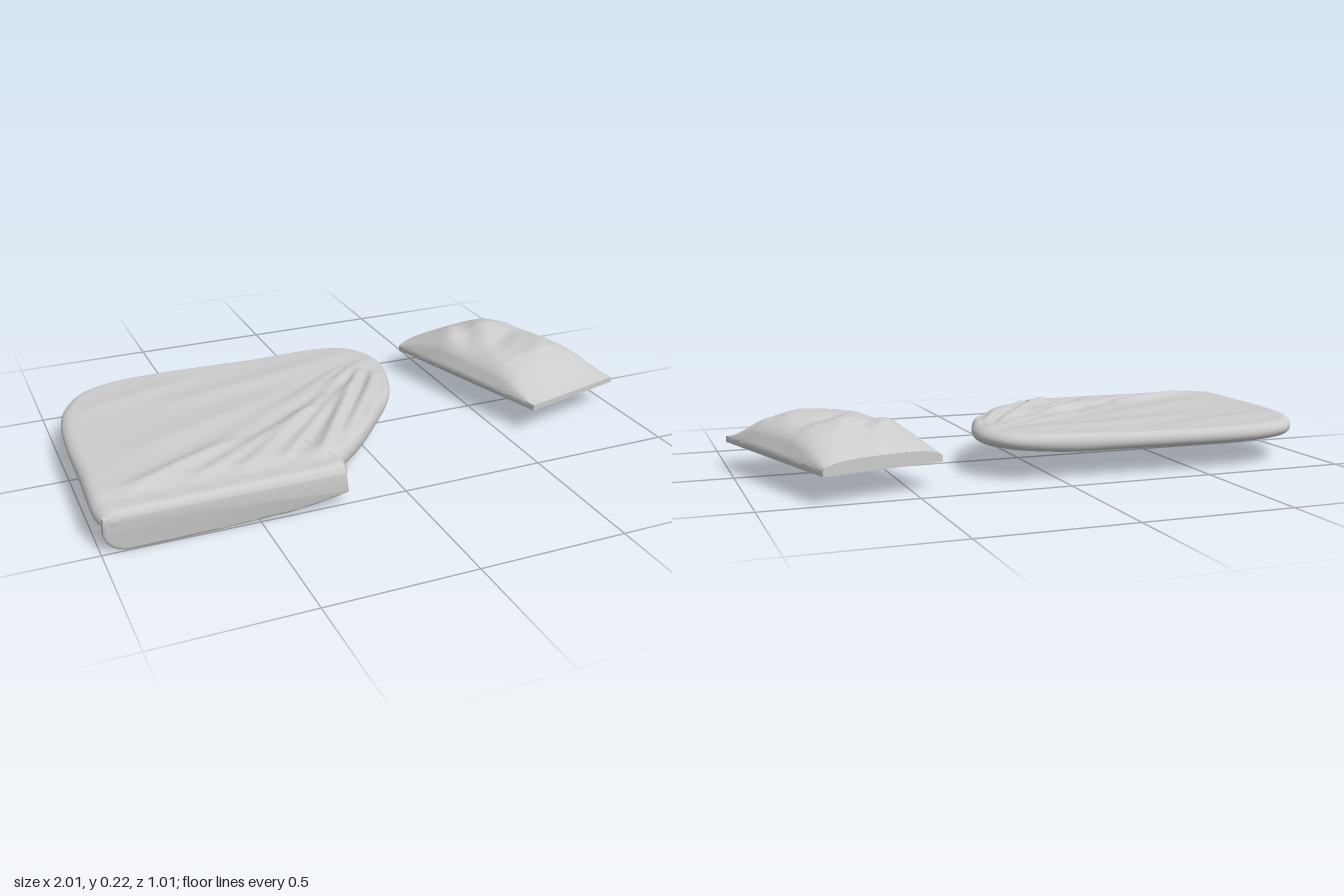
import * as THREE from 'three';
import { mergeVertices, toCreasedNormals } from 'three/addons/utils/BufferGeometryUtils.js';

const material = new THREE.MeshStandardMaterial({ color: 0xcccccc });
const { smoothstep, lerp } = THREE.MathUtils;

// Smooth interpolation through [position, value] pairs
function profile(points, x) {
  let i = 0;
  while (i < points.length - 2 && x > points[i + 1][0]) i++;
  const [x0, y0] = points[i], [x1, y1] = points[i + 1];
  return lerp(y0, y1, Math.min(1, Math.max(0, (x - x0) / (x1 - x0))));
}

// A raised fold along the segment a-b
function fold(x, z, [ax, az, bx, bz, height, width]) {
  const dx = bx - ax, dz = bz - az;
  const t = Math.min(1, Math.max(0, ((x - ax) * dx + (z - az) * dz) / (dx * dx + dz * dz)));
  const d = Math.hypot(x - ax - t * dx, z - az - t * dz) / width;
  return height * Math.exp(-d * d) * Math.sqrt(Math.sin(Math.PI * (0.1 + 0.8 * t)));
}

// ---- Blanket ----
const blanketOutline = [
  [-0.98, 0.5], [-1, 0.46], [-1, 0.2], [-0.998, 0], [-0.985, -0.16], [-0.955, -0.27], [-0.88, -0.38],
  [-0.76, -0.433], [-0.6, -0.447], [-0.2, -0.43], [0.08, -0.41], [0.17, -0.37], [0.22, -0.28],
  [0.225, -0.18], [0.19, -0.05], [0.14, 0.06], [0.03, 0.2], [-0.08, 0.32], [-0.18, 0.41],
  [-0.212, 0.445], [-0.2, 0.48], [-0.25, 0.495], [-0.6, 0.503], [-0.9, 0.503],
];

const blanketFolds = [
  [-0.24, 0.38, 0.1, -0.12, 0.016, 0.022], [-0.12, 0.3, 0.15, -0.08, 0.016, 0.02],
  [-0.36, 0.37, 0.0, -0.02, 0.014, 0.022], [-0.66, 0.4, -0.2, 0.1, 0.014, 0.03],
  [-0.86, 0.38, -0.5, 0.22, 0.012, 0.03], [-0.5, 0.38, -0.1, 0.03, 0.008, 0.025],
  [-0.2, 0.02, 0.18, -0.22, 0.008, 0.03], [-0.6, -0.15, 0.1, -0.3, 0.007, 0.05],
  [-0.9, -0.2, -0.5, -0.33, 0.006, 0.05], [-0.8, 0.15, -0.3, -0.05, 0.006, 0.06],
];

const blanketBottom = (x, z) => 0.09 - 0.02 * smoothstep(z, -0.1, 0.48) + 0.012 * smoothstep(x, -0.1, 0.2);

function blanketTop(x, z) {
  const front = smoothstep(z, 0.36, 0.44);
  let y = 0.147 - 0.01 * front + 0.01 * smoothstep(x, -0.3, 0.1);
  for (const f of blanketFolds) y += fold(x, z, f) * (1 - front * 0.8);
  // fine ripples fanning out from the back right corner
  const angle = Math.atan2(z + 0.32, 0.24 - x);
  const fan = smoothstep(angle, 0.35, 0.75) * smoothstep(Math.hypot(x - 0.24, z + 0.32), 0.1, 0.35);
  return y + 0.004 * fan * (1 - front) * Math.sin(angle * 34);
}

function blanketGeometry() {
  const curve = new THREE.CatmullRomCurve3(blanketOutline.map(([x, z]) => new THREE.Vector3(x, 0, z)), true);
  const segments = 260;
  const outline = curve.getSpacedPoints(segments);
  const cx = -0.4, cz = 0.02;
  // rings from the top centre, round the rim, to the underside centre: [scale, height]
  const rings = [];
  for (let i = 0; i < 48; i++) rings.push([0.001 + 0.939 * i / 48, 1]);
  for (let i = 0; i <= 14; i++) {
    const a = Math.PI * i / 14;
    rings.push([0.94 + 0.06 * Math.sin(a), 0.5 + 0.5 * Math.cos(a)]);
  }
  for (let i = 1; i <= 6; i++) rings.push([0.94 - 0.939 * i / 6, 0]);

  const positions = [], index = [];
  rings.forEach(([s, t], r) => {
    for (let j = 0; j < segments; j++) {
      const x = cx + s * (outline[j].x - cx), z = cz + s * (outline[j].z - cz);
      positions.push(x, lerp(blanketBottom(x, z), blanketTop(x, z), t), z);
      if (r === rings.length - 1) continue;
      const a = r * segments + j, b = r * segments + (j + 1) % segments;
      index.push(a, b, b + segments, a, b + segments, a + segments);
    }
  });
  const geometry = new THREE.BufferGeometry();
  geometry.setAttribute('position', new THREE.Float32BufferAttribute(positions, 3));
  geometry.setIndex(index);
  geometry.computeVertexNormals();
  return geometry;
}

// Part of the blanket hanging down over the front edge
function flapGeometry() {
  const bevel = 0.011;
  const shape = new THREE.Shape();
  shape.moveTo(-0.978, 0.11);
  shape.lineTo(-0.98, 0.07);
  shape.quadraticCurveTo(-0.975, 0.02, -0.92, 0.012);
  shape.bezierCurveTo(-0.75, 0.01, -0.55, 0.016, -0.42, 0.021);
  shape.quadraticCurveTo(-0.33, 0.026, -0.213, 0.05);
  shape.lineTo(-0.22, 0.11);
  const geometry = new THREE.ExtrudeGeometry(shape, {
    depth: 0.01, bevelThickness: bevel, bevelSize: bevel, bevelSegments: 4, curveSegments: 12,
  });
  geometry.translate(0, 0, 0.483);
  return toCreasedNormals(geometry, 0.9);
}

// ---- Pillow ----
const pillowCrown = [[0, 0.045], [0.08, 0.075], [0.2, 0.11], [0.3, 0.125], [0.5, 0.121], [0.72, 0.117],
  [0.8, 0.1], [0.88, 0.066], [0.96, 0.032], [1, 0.02]];

const pillowFolds = [ // in footprint coordinates
  [0.15, 0.62, 0.75, 0.15, 0.012, 0.07], [0.3, 0.85, 0.8, 0.6, 0.01, 0.06],
  [0.1, 0.3, 0.5, 0.1, 0.01, 0.06], [0.1, 0.35, 0.35, 0.25, 0.008, 0.1],
  [0.25, 0.55, 0.85, 0.4, -0.014, 0.07], [0.15, 0.42, 0.6, 0.12, -0.012, 0.06],
];

function pillowHeight(u, v) {
  const across = Math.pow(Math.max(0, 1 - Math.pow(Math.abs(2 * u - 1), 3.2)), 0.6);
  const rim = lerp(0.02, 0.045, Math.sin(Math.PI * v));
  const crown = profile(pillowCrown, v);
  let h = Math.min(rim, crown) + Math.max(0, crown - rim) * across;
  const inside = across * Math.sin(Math.PI * v);
  for (const f of pillowFolds) h += fold(u, v, f) * inside;
  return h;
}

function pillowGeometry() {
  let geometry = new THREE.BoxGeometry(1, 1, 1, 48, 5, 72);
  const p = geometry.attributes.position;
  for (let i = 0; i < p.count; i++) {
    const u = p.getX(i) + 0.5, t = p.getY(i) + 0.5, v = p.getZ(i) + 0.5;
    // corners of a turned rectangle, with slightly bulging walls
    const bulge = 0.012 * Math.sin(Math.PI * t) * (2 * u - 1) * Math.sin(Math.PI * v);
    const x = 0.4 + 0.4 * u + 0.2 * v + bulge;
    const z = -0.4 - 0.105 * u + 0.695 * v;
    p.setXYZ(i, x, 0.09 + t * pillowHeight(u, v), z);
  }
  geometry.deleteAttribute('normal');
  geometry.deleteAttribute('uv');
  geometry = mergeVertices(geometry, 1e-5);
  return toCreasedNormals(geometry, 0.9);
}

export function createModel() {
  const model = new THREE.Group();
  const add = (name, geometry, parent) => {
    const mesh = new THREE.Mesh(geometry, material);
    mesh.name = name;
    parent.add(mesh);
  };
  const blanket = new THREE.Group();
  blanket.name = 'blanket';
  add('blanketSpread', blanketGeometry(), blanket);
  add('blanketOverhang', flapGeometry(), blanket);
  model.add(blanket);
  add('pillow', pillowGeometry(), model);
  return model;
}
